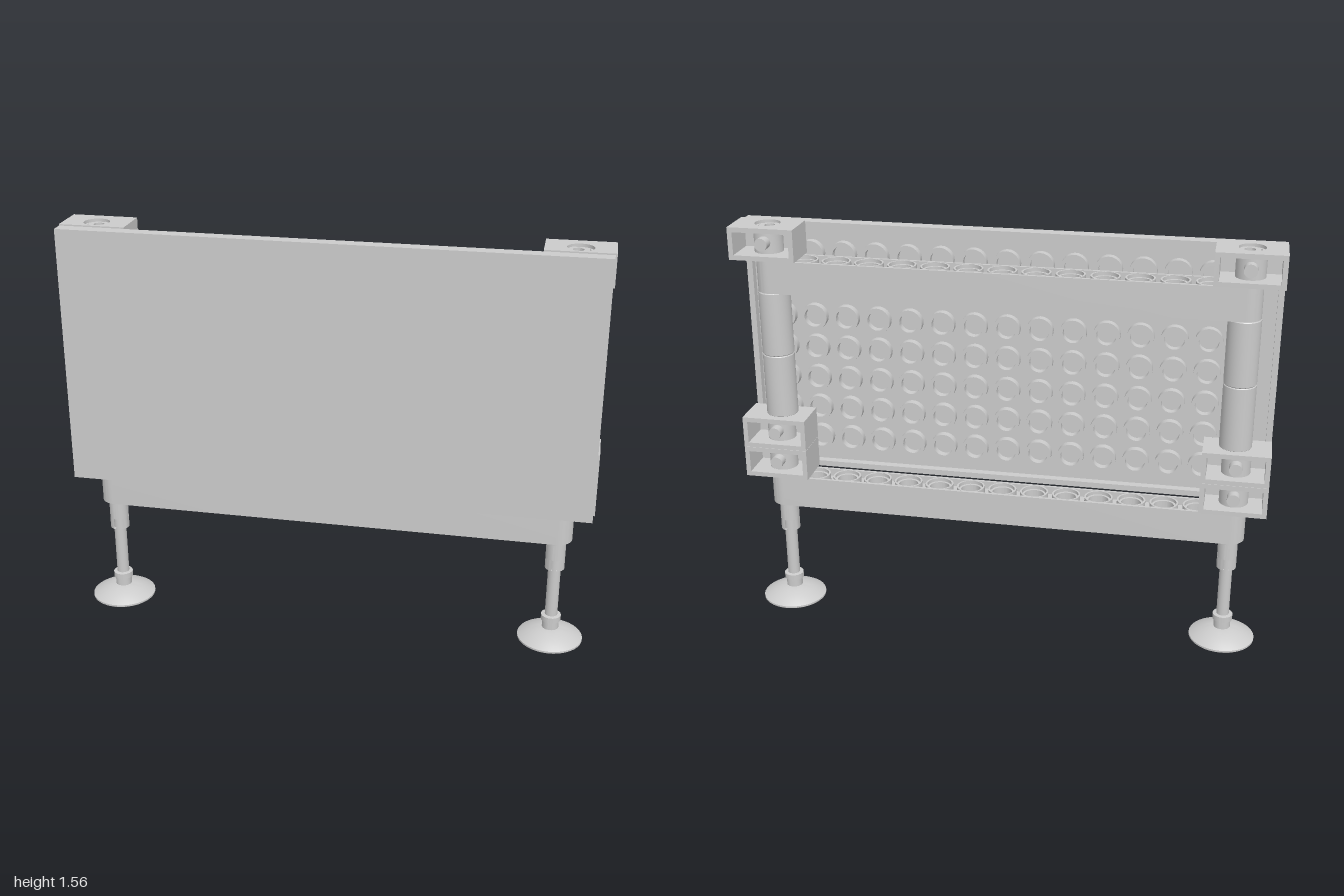
import * as THREE from 'three';
import { toCreasedNormals } from 'three/addons/utils/BufferGeometryUtils.js';

const P = 0.124;          // hole and tube spacing
const END = 7 * P;        // x of the legs and posts
const grey = new THREE.MeshStandardMaterial({ color: 0xcccccc });
const greyThin = new THREE.MeshStandardMaterial({ color: 0xcccccc, side: THREE.DoubleSide });

function add(parent, name, geometry, x = 0, y = 0, z = 0, material = grey) {
  const mesh = new THREE.Mesh(geometry, material);
  mesh.name = name;
  mesh.position.set(x, y, z);
  parent.add(mesh);
  return mesh;
}

function group(parent, name, x = 0, y = 0, z = 0) {
  const g = new THREE.Group();
  g.name = name;
  g.position.set(x, y, z);
  parent.add(g);
  return g;
}

// Turned part with crisp edges; profile runs up the outside, then down the inside
function turned(profile, segments = 24, start = 0, length = Math.PI * 2) {
  const pts = profile.map(([r, y]) => new THREE.Vector2(r, y));
  return toCreasedNormals(new THREE.LatheGeometry(pts, segments, start, length), 0.45);
}

const ring = (outer, inner, y0, y1, ...arc) =>
  turned([[outer, y0], [outer, y1], [inner, y1], [inner, y0], [outer, y0]], ...arc);

function circle(x, y, r) {
  return new THREE.Path().absarc(x, y, r, 0, Math.PI * 2, true);
}

function stadium(r, Kind = THREE.Shape) {
  const s = new Kind();
  s.absarc(END, 0, r, -Math.PI / 2, Math.PI / 2, false);
  s.absarc(-END, 0, r, Math.PI / 2, Math.PI * 1.5, false);
  s.closePath();
  return s;
}

function rect(Kind, x0, y0, x1, y1) {
  const s = new Kind();
  s.moveTo(x0, y0);
  s.lineTo(x1, y0);
  s.lineTo(x1, y1);
  s.lineTo(x0, y1);
  s.closePath();
  return s;
}

function extrude(shape, depth) {
  const g = new THREE.ExtrudeGeometry(shape, { depth, bevelEnabled: false, curveSegments: 12 });
  return toCreasedNormals(g, 0.45);
}

// Horizontal slab: shape y becomes -z, thickness goes up
const slab = (shape, height) => extrude(shape, height).rotateX(-Math.PI / 2);

// Smooth front panel, ribbed behind with a grid of tubes
function buildPanel(root) {
  const panel = group(root, 'panel', -0.003, 1.06, 0);
  const w = 0.996, h = 0.495, t = 0.022;
  add(panel, 'panelFace', new THREE.BoxGeometry(w * 2, h * 2, 0.02), 0, 0, 0.1);
  const rim = rect(THREE.Shape, -w, -h, w, h);
  rim.holes.push(rect(THREE.Path, -w + t, -h + t, w - t, h - t));
  add(panel, 'panelRim', extrude(rim, 0.03), 0, 0, 0.06);
  const tube = ring(0.05, 0.037, 0, 0.03).rotateX(Math.PI / 2);
  for (let i = -7; i <= 7; i++) {
    for (let j = -3; j <= 3; j++) add(panel, 'panelTube', tube, i * P, j * P, 0.061);
  }
}

// Round-ended beam with vertical holes and shallow pockets between them
function buildBeam(root, name, y) {
  const beam = group(root, name, 0, y, 0);
  const H = 0.125;
  const wall = stadium(0.058);
  wall.holes.push(stadium(0.047, THREE.Path));
  add(beam, 'beamWall', slab(wall, H));
  const web = stadium(0.048);
  for (let i = -7; i <= 7; i++) web.holes.push(circle(i * P, 0, 0.042));
  add(beam, 'beamWeb', slab(web, 0.065), 0, 0.03);
  const bore = turned([
    [0.054, 0.001], [0.054, H - 0.001], [0.047, H - 0.001], [0.047, H - 0.014],
    [0.038, H - 0.014], [0.038, 0.014], [0.047, 0.014], [0.047, 0.001], [0.054, 0.001],
  ]);
  for (let i = -7; i <= 7; i++) add(beam, 'beamHole', bore, i * P);
}

// Hollow block, open at the back, with a vertical bore and a small inner peg
function buildBlock(root, x, y) {
  const block = group(root, 'cornerBlock', x, y, 0);
  const w = 0.124, h = 0.122, t = 0.018, front = 0.059, back = -0.09;
  const depth = front - back, midZ = (front + back) / 2;
  const plate = rect(THREE.Shape, -w, -front, w, -back);
  plate.holes.push(circle(0, 0, 0.048));
  const plateGeo = slab(plate, t);
  add(block, 'blockFloor', plateGeo);
  add(block, 'blockRoof', plateGeo, 0, h - t);
  for (const s of [-1, 1]) {
    add(block, 'blockSide', new THREE.BoxGeometry(t, h - 2 * t, depth), s * (w - t / 2), h / 2, midZ);
    add(block, 'blockStud', new THREE.CylinderGeometry(0.037, 0.037, 0.028, 24).rotateX(Math.PI / 2),
      s * P / 2, h / 2, front + 0.013);
  }
  add(block, 'blockFront', new THREE.BoxGeometry(2 * (w - t), h - 2 * t, t), 0, h / 2, front - t / 2);
  add(block, 'blockBore', ring(0.054, 0.038, 0.012, h - 0.012));
  add(block, 'blockPeg', new THREE.CylinderGeometry(0.024, 0.024, 0.045, 20).rotateX(Math.PI / 2),
    0, h / 2, -0.066);
}

// Split pin with a hollow, slotted upper end
function buildPin(root, x, y0, y1) {
  const pin = group(root, 'pin', x);
  add(pin, 'pinBody', ring(0.038, 0.02, y0, y1 - 0.03));
  for (const a of [0.25, Math.PI + 0.25]) {
    add(pin, 'pinTip', ring(0.038, 0.02, y1 - 0.03, y1, 12, a, Math.PI - 0.5), 0, 0, 0, greyThin);
  }
  add(pin, 'pinCore', new THREE.CylinderGeometry(0.021, 0.021, 0.06, 16), 0, (y0 + y1) / 2);
}

// Post of two stacked round connectors
function buildPost(root, x) {
  const post = group(root, 'post', x);
  for (const y of [0.812, 1.059]) {
    const top = y + 0.246;
    add(post, 'postConnector', turned([
      [0.038, y], [0.058, y], [0.06, y + 0.003], [0.06, top - 0.003], [0.058, top], [0.038, top],
    ], 32));
  }
}

// Leg: slotted sleeve, rod, stepped collar and dished foot
function buildLeg(root, x) {
  const leg = group(root, 'leg', x);
  add(leg, 'legCollar', ring(0.042, 0.02, 0.422, 0.45));
  add(leg, 'legSleeve', ring(0.037, 0.022, 0.355, 0.425));
  for (const a of [0.3, Math.PI + 0.3]) {
    add(leg, 'sleeveProng', ring(0.037, 0.024, 0.31, 0.356, 12, a, Math.PI - 0.6), 0, 0, 0, greyThin);
  }
  add(leg, 'legRod', new THREE.CylinderGeometry(0.024, 0.024, 0.34, 20), 0, 0.255);
  add(leg, 'footCollar', turned([
    [0.032, 0.045], [0.032, 0.08], [0.038, 0.083], [0.038, 0.105], [0.024, 0.107],
  ]));
  add(leg, 'footDish', turned([
    [0.12, 0], [0.125, 0.004], [0.125, 0.011], [0.105, 0.024], [0.08, 0.036], [0.055, 0.045],
    [0.032, 0.05], [0, 0.05], [0, 0.036], [0.04, 0.034], [0.075, 0.024], [0.1, 0.012], [0.12, 0],
  ], 40));
  add(leg, 'footSocket', ring(0.04, 0.024, 0.008, 0.037));
}

export function createModel() {
  const root = new THREE.Group();
  root.name = 'panelOnLegs';
  buildPanel(root);
  buildBeam(root, 'lowerBeam', 0.435);
  buildBeam(root, 'upperBeam', 1.306);
  for (const s of [-1, 1]) {
    const x = s * END;
    buildLeg(root, x);
    buildPost(root, x);
    for (const y of [0.569, 0.692, 1.438]) buildBlock(root, s * 0.876, y);
    buildPin(root, x, 0.44, 0.83);
    buildPin(root, x, 1.29, 1.552);
    add(root, 'spacerRing', ring(0.046, 0.036, 0.555, 0.575), x);
    add(root, 'spacerRing', ring(0.046, 0.036, 1.425, 1.445), x);
  }
  return root;
}
